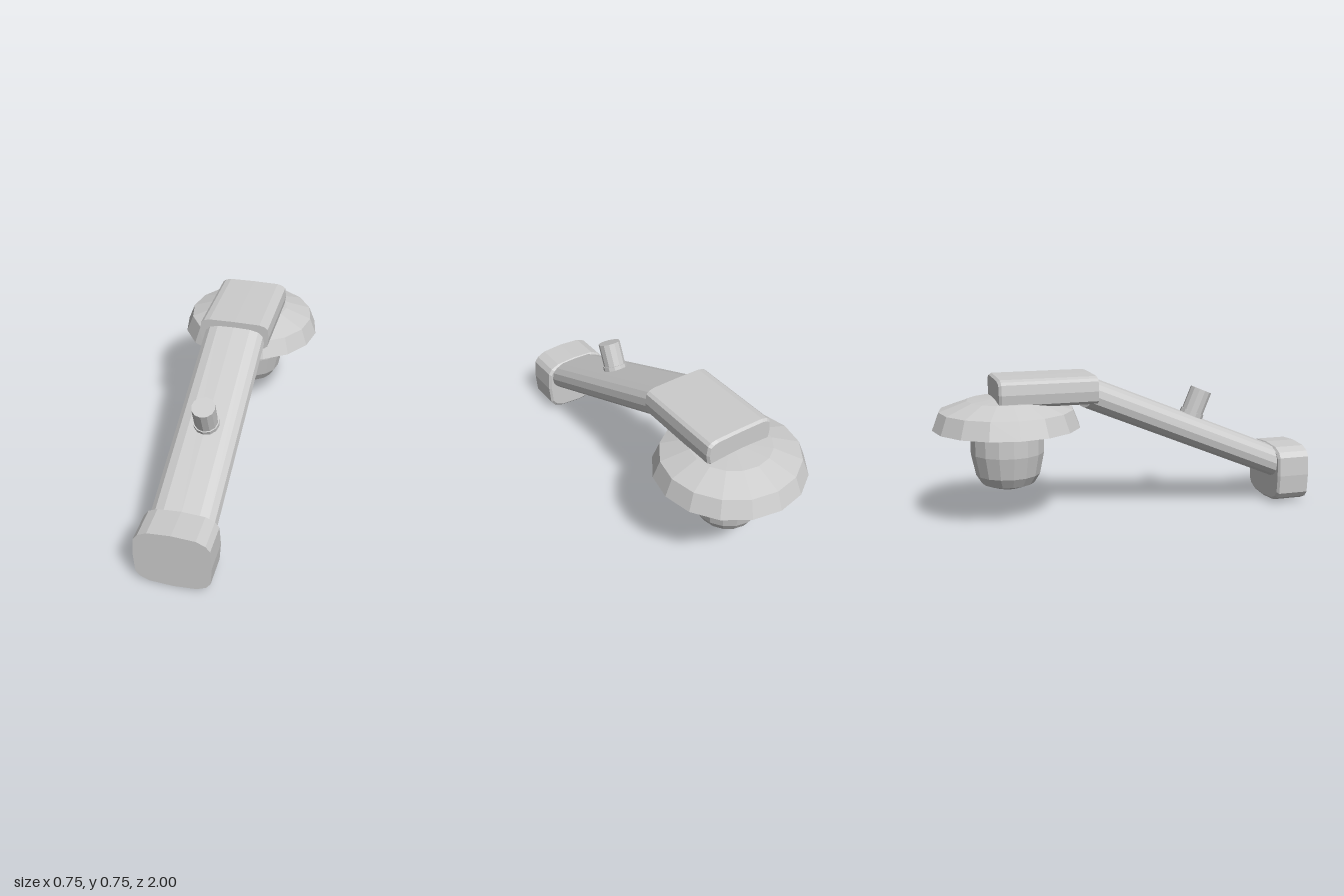
import * as THREE from 'three';

// Full counter-clockwise outline from one quarter, listed from the top centre to the side
function outline(quarter) {
  const q1 = quarter.slice().reverse(); // side -> top
  const half = [...q1, ...quarter.slice(1).map(([x, y]) => [-x, y])]; // right side -> left side
  const lower = half.slice(1, -1).map(([x, y]) => [-x, -y]);
  return [...half, ...lower];
}

// Capped loft along z; rings are [z, inset] from front to back
function loft(quarter, rings) {
  const loop = outline(quarter);
  const n = loop.length;
  const w = Math.max(...loop.map((p) => p[0]));
  const h = Math.max(...loop.map((p) => p[1]));
  const pos = [];
  const idx = [];
  for (const [z, inset] of rings) {
    for (const [x, y] of loop) pos.push(x * (1 - inset / w), y * (1 - inset / h), z);
  }
  const last = (rings.length - 1) * n;
  const front = rings.length * n;
  pos.push(0, 0, rings[0][0], 0, 0, rings[rings.length - 1][0]);
  for (let i = 0; i < n; i++) {
    const j = (i + 1) % n;
    for (let r = 0; r < last; r += n) {
      idx.push(r + i, r + n + i, r + n + j, r + i, r + n + j, r + j);
    }
    idx.push(front, i, j, front + 1, last + j, last + i);
  }
  const geo = new THREE.BufferGeometry();
  geo.setAttribute('position', new THREE.Float32BufferAttribute(pos, 3));
  geo.setIndex(idx);
  geo.computeVertexNormals();
  return geo;
}

export function createModel() {
  const model = new THREE.Group();
  const grey = new THREE.MeshStandardMaterial({ color: 0xcccccc, flatShading: true });
  grey.name = 'light grey';

  const add = (parent, name, geo, x, y, z) => {
    const mesh = new THREE.Mesh(geo, grey);
    mesh.name = name;
    mesh.position.set(x, y, z);
    parent.add(mesh);
    return mesh;
  };
  const lathe = (points, sides) =>
    new THREE.LatheGeometry(points.map(([r, y]) => new THREE.Vector2(r, y)), sides);

  // Mounting foot, chamfered where it meets the arm
  add(model, 'foot', loft(
    [[0, 0.157], [0.115, 0.149], [0.16, 0.128], [0.181, 0.1], [0.188, 0]],
    [[1, 0], [0.833, 0], [0.822, 0.012]]), 0, 0.157, 0);

  // Sloping arm with a knob standing square on it
  const arm = new THREE.Group();
  arm.name = 'armAssembly';
  arm.position.set(0, 0.212, 0.85);
  arm.rotation.x = 0.392;
  model.add(arm);
  add(arm, 'arm', loft(
    [[0, 0.08], [0.087, 0.076], [0.13, 0.061], [0.155, 0.036], [0.163, 0]],
    [[0, 0], [-1.147, 0]]), 0, 0, 0);
  add(arm, 'knobCollar', new THREE.CylinderGeometry(0.065, 0.065, 0.04, 12), 0, 0.08, -0.544);
  add(arm, 'knobStem', new THREE.CylinderGeometry(0.059, 0.059, 0.135, 12), 0, 0.158, -0.544);

  // Head block, chamfered at its far end
  add(model, 'headBlock', loft(
    [[0, 0.073], [0.135, 0.071], [0.165, 0.063], [0.18, 0.05], [0.187, 0]],
    [[-0.19, 0], [-0.677, 0], [-0.69, 0.01]]), 0, 0.677, 0);

  // Faceted shade with a closed underside, and the bulb below it
  add(model, 'shade', lathe(
    [[0, 0.49], [0.375, 0.49], [0.34, 0.58], [0.2, 0.63], [0, 0.645]], 16), 0, 0, -0.625);
  add(model, 'bulb', lathe(
    [[0, 0.175], [0.075, 0.178], [0.135, 0.2], [0.165, 0.248], [0.188, 0.36], [0.188, 0.5]], 16),
    0, 0, -0.625);

  return model;
}
